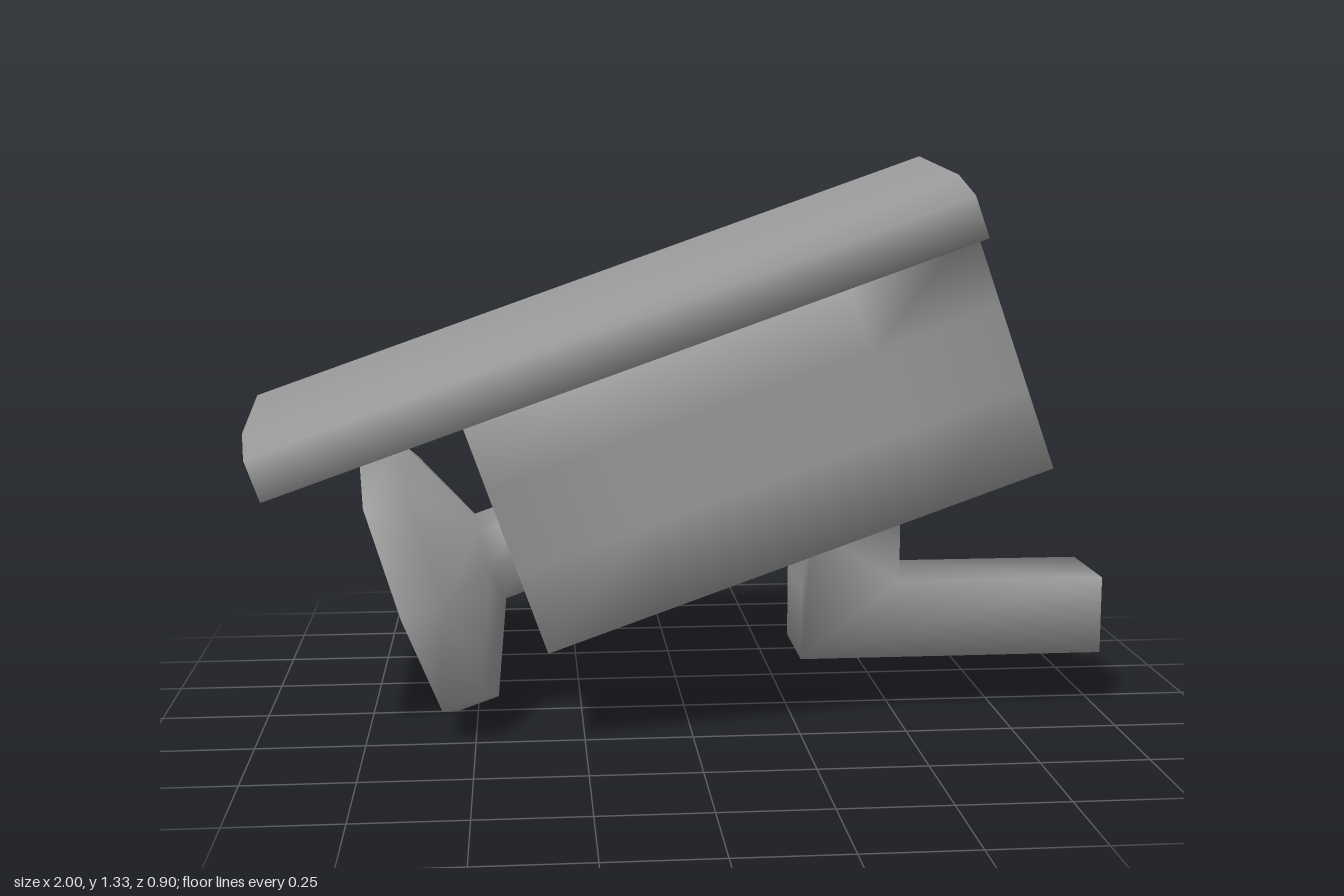
import * as THREE from 'three';
import { mergeGeometries, mergeVertices } from 'three/addons/utils/BufferGeometryUtils.js';

const grey = new THREE.MeshStandardMaterial({ color: 0x989898 });
const dark = new THREE.MeshStandardMaterial({ color: 0x555555 });
const black = new THREE.MeshStandardMaterial({ color: 0x111111 });

function part(name, geometry, material, parent) {
  const mesh = new THREE.Mesh(geometry, material);
  mesh.name = name;
  parent.add(mesh);
  return mesh;
}

// Share corner vertices so shading runs smoothly over the edges
function smooth(geometry) {
  geometry.deleteAttribute('normal');
  geometry.deleteAttribute('uv');
  const merged = mergeVertices(geometry, 1e-4);
  merged.computeVertexNormals();
  return merged;
}

function extrude(points, depth) {
  const shape = new THREE.Shape(points.map(([x, y]) => new THREE.Vector2(x, y)));
  return new THREE.ExtrudeGeometry(shape, { depth, bevelEnabled: false });
}

// Eight-sided turned shape along x, with the diagonal corners pushed out a little
function turned(profile) {
  const geometry = new THREE.LatheGeometry(profile.map(([r, x]) => new THREE.Vector2(r, x)), 8);
  const p = geometry.attributes.position;
  for (let i = 0; i < p.count; i++) {
    const x = p.getX(i), z = p.getZ(i);
    const k = 1 + 0.14 * Math.abs(x * z) / (x * x + z * z + 1e-9);
    p.setX(i, x * k);
    p.setZ(i, z * k);
  }
  return smooth(geometry.rotateZ(-Math.PI / 2));
}

export function createModel() {
  const model = new THREE.Group();
  model.name = 'securityCamera';

  // Camera head: built along x, then tilted nose down
  const head = new THREE.Group();
  head.name = 'cameraHead';
  head.rotation.z = 0.34;
  head.position.y = -0.006;
  model.add(head);

  // Housing, joined at the back with an arched sun hood that overhangs the lens
  const body = new THREE.BoxGeometry(1.206, 0.584, 0.7, 4, 3, 3).toNonIndexed();
  body.translate(0.368, 0.628, 0);
  const half = [
    [0.35 / 3, 0.92], [0.35, 0.92], [0.45, 0.888], [0.45, 0.985], [0.35, 1.03],
  ];
  const hood = extrude([
    ...half, [0, 1.07], ...half.map(([x, y]) => [-x, y]).reverse(),
  ], 1.654);
  hood.rotateY(Math.PI / 2);
  hood.translate(-0.683, 0, 0);
  part('housingAndSunHood', smooth(mergeGeometries([body, hood])), grey, head);

  // Flared lens shroud with neck, face plate and recessed aperture
  const lens = new THREE.Group();
  lens.name = 'lens';
  lens.position.y = 0.519;
  head.add(lens);
  part('lensShroud', turned([
    [0.332, -0.515], [0.332, -0.411], [0.11, -0.31], [0.11, -0.2],
  ]), grey, lens);
  part('lensFace', turned([[0.065, -0.515], [0.332, -0.515]]), dark, lens);
  part('lensAperture', turned([[0, -0.49], [0.065, -0.49], [0.065, -0.515]].map(
    ([r, x]) => [r, x])), black, lens);

  // Wall bracket: L-shaped arm with a mounting flange sunk into the housing
  const arm = extrude([
    [0.27, 0.14], [1, 0.14], [1, 0.325], [0.505, 0.325],
    [0.505, 0.53], [0.75, 0.64], [0.05, 0.42], [0.295, 0.455], [0.27, 0.31],
  ], 0.23);
  arm.translate(0, 0, -0.115);
  part('bracketArm', smooth(arm), grey, model);

  return model;
}
